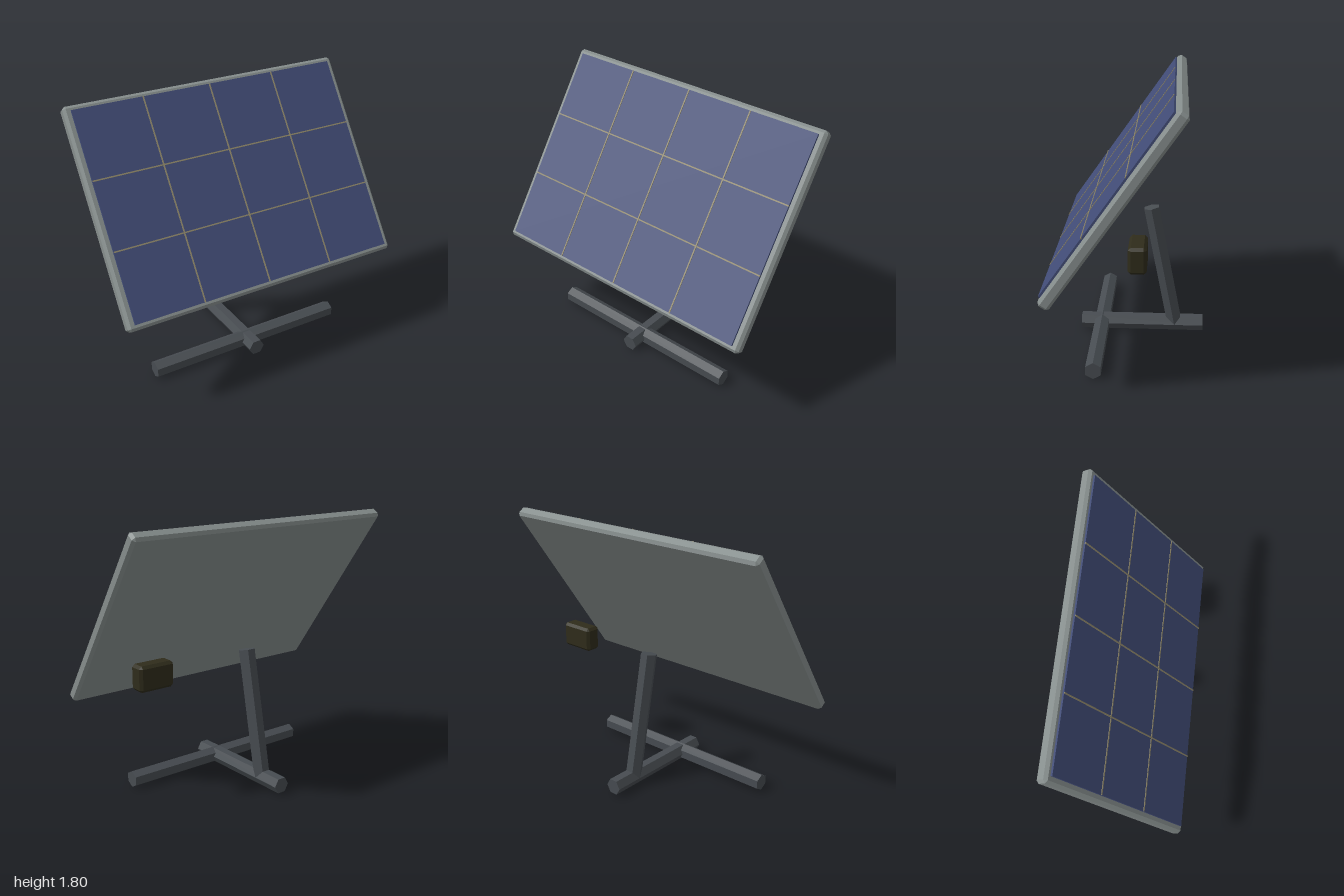
import * as THREE from 'three';
import { ConvexGeometry } from 'three/addons/geometries/ConvexGeometry.js';

const material = (name, color) => {
  const m = new THREE.MeshStandardMaterial({ color });
  m.name = name;
  return m;
};

// Box with flat chamfers on every edge
function chamferBox(w, h, d, c) {
  const points = [];
  for (const x of [-1, 1]) for (const y of [-1, 1]) for (const z of [-1, 1]) {
    for (const [cx, cy, cz] of [[0, c, c], [c, 0, c], [c, c, 0]]) {
      points.push(new THREE.Vector3(x * (w / 2 - cx), y * (h / 2 - cy), z * (d / 2 - cz)));
    }
  }
  return new ConvexGeometry(points);
}

// Six-sided bar with two of its edges facing +x and -x before it is turned
function hexBar(length) {
  return new THREE.CylinderGeometry(0.057, 0.057, length, 6).rotateY(Math.PI / 2).toNonIndexed();
}

export function createModel() {
  const model = new THREE.Group();
  model.name = 'solarPanel';

  const frameGrey = material('frameGrey', 0x868e8d);
  const steel = material('darkSteel', 0x474c51);
  steel.flatShading = true;
  const cellBlue = material('cellBlue', 0x414c76);
  const gridTan = material('gridTan', 0x8f876a);
  const boxBrown = material('boxBrown', 0x2f2c1b);

  const add = (parent, name, geometry, mat, x = 0, y = 0, z = 0) => {
    geometry.computeVertexNormals();
    const mesh = new THREE.Mesh(geometry, mat);
    mesh.name = name;
    mesh.position.set(x, y, z);
    parent.add(mesh);
    return mesh;
  };

  // Stand: cross bar, spine and leaning post
  add(model, 'crossBar', hexBar(1.43).rotateZ(Math.PI / 2), steel, 0, 0.057, 0.21);
  add(model, 'spine', hexBar(0.855).rotateX(Math.PI / 2), steel, 0, 0.06, -0.0725);
  const foot = new THREE.Vector3(0, 0.06, -0.3);
  const head = new THREE.Vector3(0, 0.917, -0.133);
  const lean = Math.atan2(head.z - foot.z, head.y - foot.y);
  const middle = foot.clone().add(head).multiplyScalar(0.5);
  const post = add(model, 'post', hexBar(foot.distanceTo(head)), steel, 0, middle.y, middle.z);
  post.rotation.x = lean;

  // Tilted panel, built upright facing +z
  const panel = new THREE.Group();
  panel.name = 'panel';
  panel.position.set(0, 1.203, 0.068);
  panel.rotation.x = -THREE.MathUtils.degToRad(35);
  model.add(panel);

  const cellsW = 1.91, cellsH = 1.35;
  add(panel, 'frame', chamferBox(2, 1.42, 0.08, 0.018), frameGrey);
  add(panel, 'cells', new THREE.BoxGeometry(cellsW, cellsH, 0.02), cellBlue, 0, 0, 0.043);

  // Grid lines between the cells
  for (let i = -1; i <= 1; i++) {
    add(panel, 'verticalGridLine', new THREE.BoxGeometry(0.009, cellsH, 0.01), gridTan, i * cellsW / 4, 0, 0.052);
  }
  for (const side of [-1, 1]) {
    add(panel, 'horizontalGridLine', new THREE.BoxGeometry(cellsW, 0.009, 0.01), gridTan, 0, side * 0.223, 0.0515);
  }

  // Control box behind the panel
  add(model, 'controlBox', chamferBox(0.25, 0.17, 0.112, 0.018), boxBrown, 0.71, 0.86, -0.075);

  return model;
}
